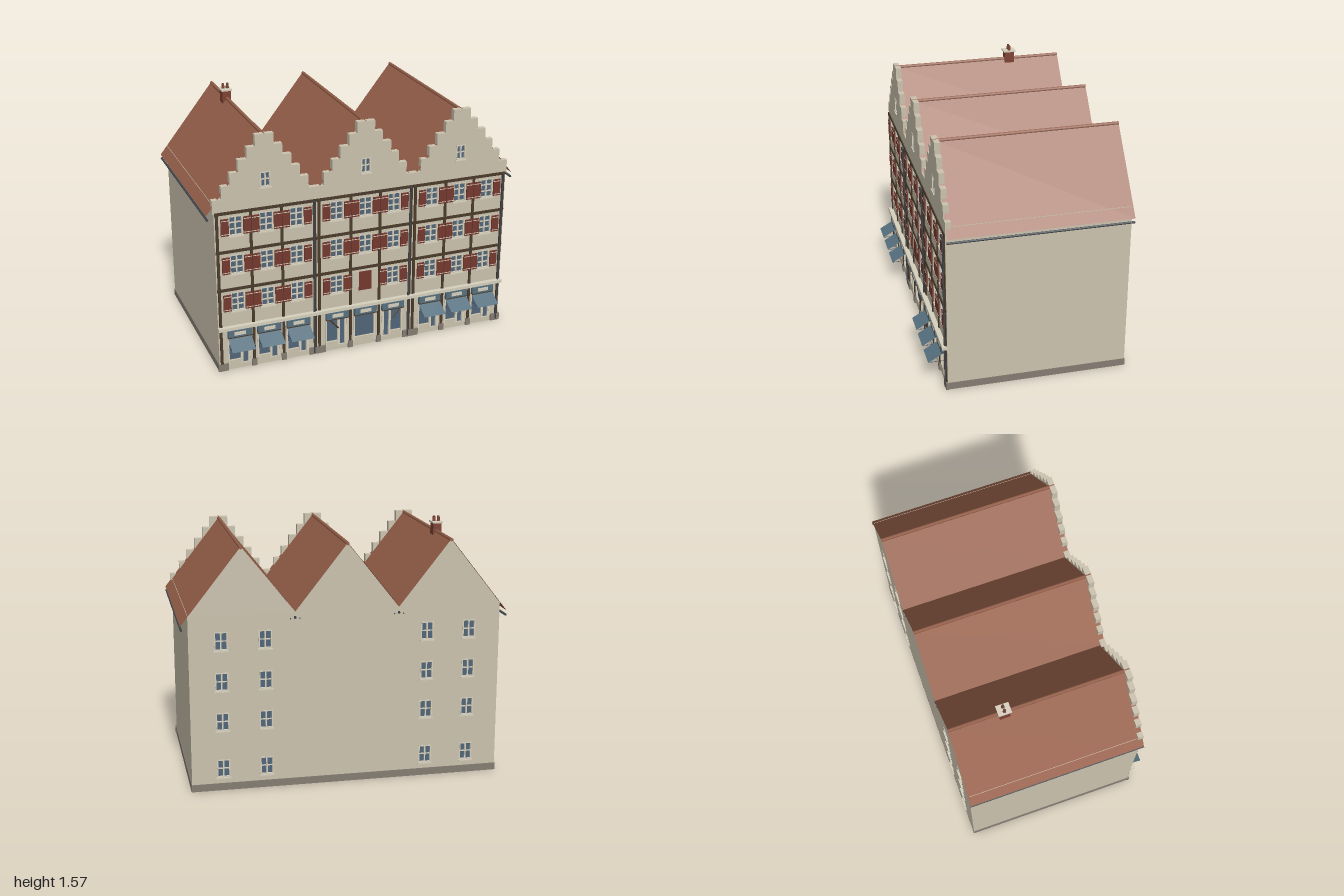
import * as THREE from 'three';

const paint = (name, color, side = THREE.FrontSide) => {
  const m = new THREE.MeshStandardMaterial({ color, side });
  m.name = name;
  return m;
};
const BAYS = [-0.632, 0, 0.632];
const RIDGE = 1.487, SLOPE = 1.264, VALLEY = 0.316;
const roofY = (x) => RIDGE - SLOPE * Math.min(...BAYS.map((c) => Math.abs(x - c)));

export function createModel() {
  const wall = paint('plaster', 0xcbc2ae, THREE.DoubleSide);
  const trim = paint('cream trim', 0xd6cfbd);
  const roofMat = paint('roof tile', 0x96604a, THREE.DoubleSide);
  const glass = paint('window glass', 0x506578, THREE.DoubleSide);
  const cloth = paint('awning blue', 0x56707f, THREE.DoubleSide);
  const red = paint('shutter red', 0x74392e);
  const timber = paint('dark timber', 0x4a3b2c);
  const stone = paint('plinth stone', 0x857c72);
  const metal = paint('gutter metal', 0x42474d);
  const brick = paint('chimney brick', 0x7e4233);

  const model = new THREE.Group();
  model.name = 'steppedGableTownhouses';

  const add = (parent, name, geo, mat, x = 0, y = 0, z = 0) => {
    const mesh = new THREE.Mesh(geo, mat);
    mesh.name = name;
    mesh.position.set(x, y, z);
    parent.add(mesh);
    return mesh;
  };
  const box = (parent, name, mat, w, h, d, x, y, z) =>
    add(parent, name, new THREE.BoxGeometry(w, h, d), mat, x, y, z);
  const group = (name, parent = model) => {
    const g = new THREE.Group();
    g.name = name;
    parent.add(g);
    return g;
  };
  const rod = (parent, name, mat, r, a, b, sides = 8) => {
    const from = new THREE.Vector3(...a), dir = new THREE.Vector3(...b).sub(from);
    const m = add(parent, name, new THREE.CylinderGeometry(r, r, dir.length(), sides), mat);
    m.position.copy(from).addScaledVector(dir, 0.5);
    m.quaternion.setFromUnitVectors(new THREE.Vector3(0, 1, 0), dir.normalize());
  };

  // Wall with rectangular openings [x, y centre, w, h]; its outer face is at z = face
  const facade = (parent, name, outline, openings, face, depth) => {
    const shape = new THREE.Shape(outline.map(([x, y]) => new THREE.Vector2(x, y)));
    for (const [x, y, w, h] of openings) {
      const corners = [[-1, -1], [-1, 1], [1, 1], [1, -1]];
      shape.holes.push(new THREE.Path(corners.map(([i, j]) => new THREE.Vector2(x + i * w / 2, y + j * h / 2))));
    }
    const geo = new THREE.ExtrudeGeometry(shape, { depth, bevelEnabled: false });
    add(parent, name, geo, wall, 0, 0, face - depth);
  };

  // Recessed glazing with a frame, glazing bars and a sill
  const glaze = (parent, x, y, w, h, face, rows) => {
    const g = group('window', parent);
    g.position.set(x, y, face);
    add(g, 'pane', new THREE.PlaneGeometry(w, h), glass, 0, 0, -0.012);
    for (const s of [-1, 1]) {
      box(g, 'jamb', trim, 0.007, h, 0.012, s * (w / 2 - 0.003), 0, -0.004);
      box(g, 'rail', trim, w, 0.007, 0.012, 0, s * (h / 2 - 0.003), -0.004);
    }
    box(g, 'mullion', trim, 0.009, h, 0.01, 0, 0, -0.006);
    for (let i = 1; i < rows; i++) box(g, 'glazingBar', trim, w, 0.006, 0.008, 0, h / 2 - (h * i) / rows, -0.007);
    box(g, 'sill', trim, w + 0.012, 0.008, 0.012, 0, -h / 2 - 0.004, 0.002);
  };

  // Front wall with stepped gables
  const FACE = 0.505, OFF = 0.188;
  const steps = [[0.268, 1.2], [0.215, 1.275], [0.163, 1.35], [0.108, 1.42], [0.057, 1.49]];
  const front = group('front');
  const outline = [[-0.95, 0], [0.95, 0], [0.95, 1.035], [0.957, 1.035], [0.957, 1.12]];
  for (const c of [...BAYS].reverse()) {
    let low = 1.12;
    for (const [x, y] of steps) { outline.push([c + x, low], [c + x, y]); low = y; }
    for (let i = steps.length - 1; i >= 0; i--) {
      outline.push([c - steps[i][0], steps[i][1]], [c - steps[i][0], i ? steps[i - 1][1] : 1.12]);
    }
  }
  outline.push([-0.957, 1.12], [-0.957, 1.035], [-0.95, 1.035]);

  const floors = [0.455, 0.7, 0.947];
  const upper = [], shops = [], attic = BAYS.map((c) => [c, 1.212, 0.062, 0.095]);
  BAYS.forEach((c, b) => {
    for (const k of [-1, 0, 1]) {
      const x = c + k * OFF;
      shops.push([x, 0.15, 0.145, 0.24, b, k]);
      floors.forEach((y, f) => { if (!(b === 1 && k === 0 && f === 0)) upper.push([x, y, 0.085, 0.125]); });
    }
  });
  facade(front, 'frontWall', outline, [...upper, ...attic, ...shops], FACE, 0.035);
  for (const [x, y, w, h] of attic) glaze(front, x, y, w, h, FACE, 2);

  // Upper windows with pairs of shutters
  for (const [x, y, w, h] of upper) {
    glaze(front, x, y, w, h, FACE, 3);
    for (const s of [-1, 1]) {
      const sx = x + s * 0.0685;
      box(front, 'shutter', red, 0.048, 0.108, 0.008, sx, y, FACE + 0.01);
      for (const t of [-1, 1]) box(front, 'shutterBatten', trim, 0.046, 0.004, 0.002, sx, y + t * 0.043, FACE + 0.015);
    }
  }
  box(front, 'loadingHatch', red, 0.085, 0.128, 0.008, 0, 0.452, FACE + 0.004);
  box(front, 'hatchPanel', wall, 0.172, 0.135, 0.007, 0, 0.452, FACE + 0.0025);

  // Timber framing, stone feet and downpipes
  for (const c of BAYS) {
    for (const y of [0.54, 0.787, 1.033]) box(front, 'beam', timber, 0.63, 0.018, 0.008, c, y, FACE + 0.002);
    for (const s of [-1, 1]) {
      box(front, 'edgePost', timber, 0.017, 1.03, 0.01, c + s * 0.302, 0.515, FACE + 0.002);
      box(front, 'innerPost', timber, 0.017, 1.03, 0.01, c + s * 0.096, 0.515, FACE + 0.001);
      box(front, 'edgeFoot', stone, 0.062, 0.046, 0.016, c + s * 0.294, 0.023, FACE + 0.003);
      box(front, 'innerFoot', stone, 0.032, 0.046, 0.014, c + s * 0.096, 0.023, FACE + 0.003);
    }
  }
  for (const x of [-0.338, 0.294, 0.93]) {
    rod(front, 'downpipe', metal, 0.006, [x, 0.01, FACE + 0.01], [x, 1.005, FACE + 0.01]);
    rod(front, 'downpipeElbow', metal, 0.006, [x, 1.0, FACE + 0.008], [x, 1.036, FACE + 0.02]);
  }
  box(front, 'cornice', trim, 1.905, 0.02, 0.032, 0, 0.288, FACE + 0.014);

  // Shop fronts: window, glazed door, awning box and awning
  for (const [x, y, w, h, b, k] of shops) {
    const shop = group('shopFront', front);
    shop.position.set(x, 0, FACE);
    add(shop, 'shopGlass', new THREE.PlaneGeometry(w, h), glass, 0, y, -0.012);
    box(shop, 'awningBox', cloth, 0.148, 0.052, 0.022, 0, 0.249, 0.012);
    box(shop, 'signPlate', trim, 0.072, 0.024, 0.003, 0, 0.25, 0.0235);
    box(shop, 'boxEdge', timber, 0.15, 0.006, 0.023, 0, 0.224, 0.0125);
    for (const s of [-1, 1]) box(shop, 'jamb', trim, 0.008, h, 0.014, s * (w / 2 - 0.004), y, -0.005);
    const side = b === 1 ? -k : 1;
    if (side === 0) {
      box(shop, 'stallRiser', wall, w, 0.03, 0.014, 0, 0.045, -0.006);
    } else {
      box(shop, 'doorPost', trim, 0.014, 0.2, 0.014, side * 0.014, 0.13, -0.005);
      box(shop, 'stallRiser', wall, 0.085, 0.03, 0.014, -side * 0.03, 0.045, -0.006);
      box(shop, 'doorStile', trim, 0.012, 0.2, 0.012, side * 0.06, 0.13, -0.005);
    }
    if (b !== 1) {
      const awning = new THREE.PlaneGeometry(0.147, Math.hypot(0.09, 0.052));
      add(shop, 'awning', awning, cloth, 0, 0.193, 0.06).rotation.x = -Math.atan2(0.09, 0.052);
      for (const s of [-1, 1]) rod(shop, 'awningArm', metal, 0.002, [s * 0.068, 0.165, 0.008], [s * 0.068, 0.167, 0.103], 5);
    } else if (k !== 0) {
      rod(shop, 'foldedArm', timber, 0.005, [k * 0.045, 0.215, 0.014], [-k * 0.005, 0.16, 0.02], 6);
    }
  }

  // Back wall with plain gables and four rows of windows
  const back = group('back');
  back.rotation.y = Math.PI;
  const backLine = [[-0.95, 0], [0.95, 0]];
  for (const x of [0.95, 0.632, VALLEY, 0, -VALLEY, -0.632, -0.95]) backLine.push([x, roofY(x) - 0.003]);
  const rear = [];
  for (const x of [-0.758, -0.495, 0.495, 0.758]) {
    for (const y of [0.138, 0.432, 0.68, 0.928]) rear.push([x, y, 0.078, 0.112]);
  }
  facade(back, 'backWall', backLine, rear, 0.603, 0.03);
  for (const [x, y, w, h] of rear) glaze(back, x, y, w, h, 0.603, 2);
  box(back, 'backPlinth', stone, 1.908, 0.045, 0.006, 0, 0.0225, 0.603);
  for (const x of [-VALLEY, VALLEY]) {
    rod(back, 'valleySpout', metal, 0.008, [x, 1.06, 0.58], [x, 1.05, 0.609]);
    for (const s of [-1, 1]) rod(back, 'spoutBracket', metal, 0.004, [x + s * 0.028, 1.045, 0.598], [x + s * 0.028, 1.045, 0.609], 6);
  }

  // Side walls, plinths and eaves gutters
  for (const s of [-1, 1]) {
    const g = group(s > 0 ? 'leftSide' : 'rightSide');
    box(g, 'sideWall', wall, 0.02, 1.088, 1.1, s * 0.94, 0.544, -0.05);
    box(g, 'sidePlinth', stone, 0.006, 0.045, 1.108, s * 0.951, 0.0225, -0.05);
    rod(g, 'gutter', metal, 0.007, [s * 0.988, 1.004, 0.505], [s * 0.988, 1.004, -0.609]);
  }

  // Folded roof sheet over the three houses
  const roof = group('roof');
  const xs = [-0.994, -0.632, -VALLEY, 0, VALLEY, 0.632, 0.994];
  const sheet = new THREE.PlaneGeometry(1, 1, 6, 1);
  const p = sheet.attributes.position;
  for (let i = 0; i < p.count; i++) {
    const x = xs[i % 7];
    p.setXYZ(i, x, roofY(x), i < 7 ? -0.609 : 0.501);
  }
  const folded = sheet.toNonIndexed();
  folded.computeVertexNormals();
  add(roof, 'roofTiles', folded, roofMat);
  for (const c of BAYS) rod(roof, 'ridgeCap', roofMat, 0.011, [c, RIDGE - 0.006, -0.609], [c, RIDGE - 0.006, 0.503], 6);

  // Chimney with two pots
  const chimney = group('chimney');
  chimney.position.set(-0.635, 0, -0.272);
  box(chimney, 'stack', brick, 0.054, 0.13, 0.064, 0, 1.465, 0);
  box(chimney, 'cap', trim, 0.066, 0.01, 0.08, 0, 1.535, 0);
  for (const s of [-1, 1]) {
    add(chimney, 'pot', new THREE.CylinderGeometry(0.008, 0.01, 0.032, 10), brick, s * 0.014, 1.555, 0);
    add(chimney, 'potMouth', new THREE.CylinderGeometry(0.006, 0.006, 0.002, 10), timber, s * 0.014, 1.571, 0);
  }
  return model;
}
